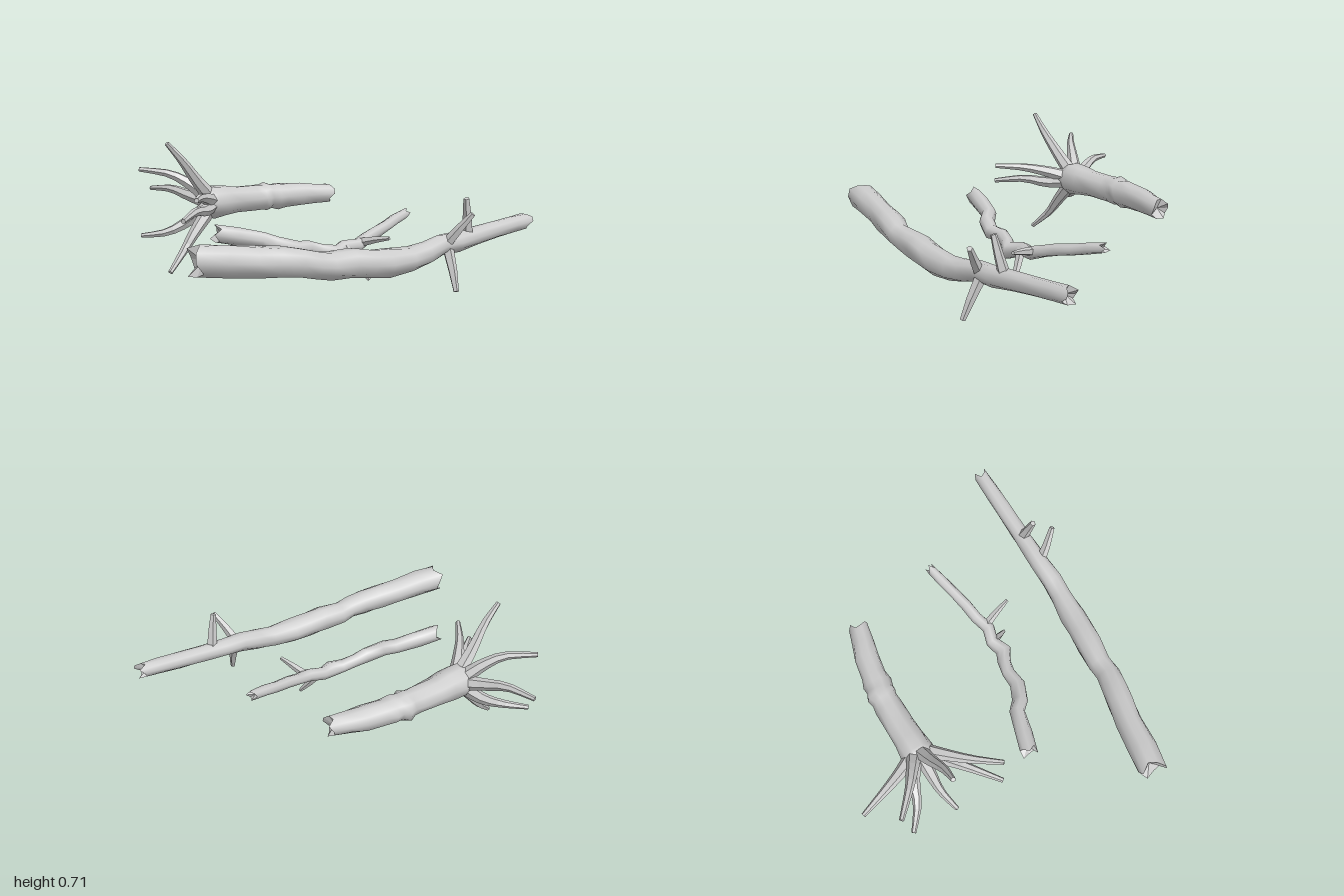
import * as THREE from 'three';

// Lofts rings along stations [x, y, z, radius]; ends are broken into points with a sunken core.
function limbGeometry(stations, { sides = 6, jag = 0, wobble = 0, flat = false } = {}) {
  const n = stations.length;
  const pts = stations.map((s) => new THREE.Vector3(s[0], s[1], s[2]));
  const overall = pts[n - 1].clone().sub(pts[0]).normalize();
  const ref = Math.abs(overall.y) > 0.75 ? new THREE.Vector3(0, 0, 1) : new THREE.Vector3(0, 1, 0);
  const tangents = pts.map((p, i) =>
    pts[Math.min(i + 1, n - 1)].clone().sub(pts[Math.max(i - 1, 0)]).normalize());
  const rings = pts.map((p, i) => {
    const t = tangents[i];
    const u = t.clone().cross(ref).normalize();
    const v = t.clone().cross(u);
    return Array.from({ length: sides }, (_, j) => {
      const a = (j / sides) * Math.PI * 2;
      const r = stations[i][3] * (1 + wobble * Math.sin(2.3 * j + 1.7 * i));
      const end = i === 0 ? -1 : i === n - 1 ? 1 : 0;
      const spike = end * jag * (j % 3 === 0 ? 1 : j % 3 === 1 ? -0.4 : 0.1);
      return p.clone().addScaledVector(u, Math.cos(a) * r)
        .addScaledVector(v, Math.sin(a) * r).addScaledVector(t, spike);
    });
  });

  const pos = [], index = [];
  rings.flat().forEach((p) => pos.push(p.x, p.y, p.z));
  for (let i = 0; i < n - 1; i++) {
    for (let j = 0; j < sides; j++) {
      const k = (j + 1) % sides;
      const a = i * sides + j, b = i * sides + k;
      index.push(a, b, b + sides, a, b + sides, a + sides);
    }
  }
  // End caps use their own corners so the rim stays sharp.
  for (const i of [0, n - 1]) {
    const core = pts[i].clone().addScaledVector(tangents[i], (i ? -1 : 1) * jag);
    for (let j = 0; j < sides; j++) {
      const a = rings[i][j], b = rings[i][(j + 1) % sides];
      for (const p of i ? [core, a, b] : [core, b, a]) {
        index.push(pos.length / 3);
        pos.push(p.x, p.y, p.z);
      }
    }
  }
  let geo = new THREE.BufferGeometry();
  geo.setAttribute('position', new THREE.Float32BufferAttribute(pos, 3));
  geo.setIndex(index);
  if (flat) geo = geo.toNonIndexed();
  geo.computeVertexNormals();
  return geo;
}

// Tapered stations along a smooth curve through a few points
function curvedStations(path, r0, r1, steps = 7) {
  const curve = new THREE.CatmullRomCurve3(path.map((p) => new THREE.Vector3(...p)));
  return curve.getPoints(steps).map((p, i) => [...p.toArray(), r0 + (r1 - r0) * (i / steps)]);
}

export function createModel() {
  const model = new THREE.Group();
  model.name = 'driftwood';
  const wood = new THREE.MeshStandardMaterial({ color: 0xcccccc });
  wood.name = 'pale grey wood';

  const group = (name) => {
    const g = new THREE.Group();
    g.name = name;
    model.add(g);
    return g;
  };
  const add = (parent, name, stations, options) => {
    const mesh = new THREE.Mesh(limbGeometry(stations, options), wood);
    mesh.name = name;
    parent.add(mesh);
  };
  const twig = { sides: 5, flat: true };

  // Long log with three broken branches
  const long = group('longLog');
  add(long, 'longTrunk', [
    [-0.97, 0.29, 0.635, 0.075], [-0.85, 0.28, 0.65, 0.076], [-0.7, 0.262, 0.663, 0.072],
    [-0.58, 0.25, 0.68, 0.072], [-0.48, 0.237, 0.695, 0.07], [-0.4, 0.22, 0.71, 0.064],
    [-0.32, 0.206, 0.703, 0.066], [-0.2, 0.205, 0.705, 0.072], [-0.1, 0.192, 0.71, 0.07],
    [0, 0.185, 0.712, 0.071], [0.14, 0.188, 0.711, 0.06], [0.24, 0.205, 0.705, 0.058],
    [0.35, 0.232, 0.686, 0.053], [0.46, 0.235, 0.68, 0.051], [0.6, 0.25, 0.665, 0.047],
    [0.75, 0.266, 0.65, 0.046], [0.88, 0.28, 0.638, 0.043], [0.97, 0.287, 0.63, 0.041],
  ], { sides: 10, jag: 0.03, wobble: 0.06 });
  add(long, 'upperFrontBranch', [[0.37, 0.23, 0.7, 0.03], [0.41, 0.315, 0.755, 0.023], [0.455, 0.395, 0.805, 0.015]], twig);
  add(long, 'lowerBranch', [[0.385, 0.22, 0.7, 0.03], [0.375, 0.11, 0.755, 0.023], [0.365, 0.012, 0.797, 0.014]], twig);
  add(long, 'upperBranch', [[0.54, 0.25, 0.67, 0.032], [0.52, 0.36, 0.69, 0.024], [0.5, 0.455, 0.703, 0.016]], twig);

  // Thin crooked log with two twigs
  const thin = group('crookedLog');
  add(thin, 'crookedTrunk', [
    [-0.6, 0.288, 0.105, 0.045], [-0.5, 0.27, 0.128, 0.046], [-0.37, 0.245, 0.16, 0.042],
    [-0.32, 0.222, 0.208, 0.043], [-0.22, 0.193, 0.242, 0.042], [-0.14, 0.192, 0.228, 0.036],
    [-0.07, 0.17, 0.243, 0.037], [0, 0.152, 0.275, 0.045], [0.07, 0.173, 0.236, 0.036],
    [0.15, 0.178, 0.254, 0.036], [0.23, 0.203, 0.218, 0.032], [0.31, 0.225, 0.197, 0.032],
    [0.4, 0.245, 0.166, 0.03], [0.48, 0.268, 0.137, 0.03], [0.57, 0.288, 0.106, 0.026],
  ], { sides: 8, jag: 0.025, wobble: 0.06 });
  add(thin, 'lowerTwig', [[0.075, 0.18, 0.25, 0.025], [0.11, 0.09, 0.305, 0.019], [0.15, 0.012, 0.36, 0.01]], twig);
  add(thin, 'frontTwig', [[0.17, 0.19, 0.25, 0.025], [0.205, 0.215, 0.335, 0.018], [0.235, 0.232, 0.415, 0.01]], twig);

  // Thick stump with spreading roots
  const stump = group('rootedStump');
  add(stump, 'stumpTrunk', [
    [-0.41, 0.36, -0.427, 0.06], [-0.395, 0.36, -0.427, 0.083], [-0.36, 0.36, -0.428, 0.09],
    [-0.28, 0.36, -0.437, 0.084], [-0.2, 0.358, -0.448, 0.077], [-0.08, 0.358, -0.457, 0.073],
    [-0.03, 0.358, -0.458, 0.071], [0, 0.357, -0.464, 0.083], [0.03, 0.357, -0.458, 0.07],
    [0.07, 0.356, -0.454, 0.076], [0.12, 0.356, -0.452, 0.068], [0.23, 0.356, -0.445, 0.067],
    [0.31, 0.355, -0.428, 0.058], [0.4, 0.355, -0.412, 0.052],
  ], { sides: 10, jag: 0.022, wobble: 0.05 });
  // Each root: base, elbow, middle and tip
  const roots = [
    [[-0.37, 0.39, -0.42], [-0.47, 0.495, -0.395], [-0.565, 0.61, -0.368], [-0.652, 0.705, -0.362]],
    [[-0.37, 0.38, -0.45], [-0.46, 0.46, -0.5], [-0.55, 0.515, -0.555], [-0.685, 0.538, -0.662]],
    [[-0.37, 0.36, -0.46], [-0.43, 0.385, -0.56], [-0.49, 0.415, -0.675], [-0.55, 0.406, -0.818]],
    [[-0.37, 0.34, -0.45], [-0.47, 0.25, -0.505], [-0.58, 0.195, -0.54], [-0.7, 0.174, -0.62]],
    [[-0.37, 0.33, -0.42], [-0.47, 0.215, -0.405], [-0.55, 0.115, -0.39], [-0.655, 0.012, -0.345]],
    [[-0.37, 0.35, -0.4], [-0.46, 0.335, -0.31], [-0.56, 0.35, -0.22], [-0.69, 0.33, -0.095]],
    [[-0.37, 0.37, -0.4], [-0.45, 0.4, -0.31], [-0.54, 0.425, -0.2], [-0.63, 0.436, -0.062]],
  ];
  roots.forEach((path, i) =>
    add(stump, `root${i + 1}`, curvedStations(path, 0.042, 0.013), { sides: 6, flat: true }));

  return model;
}
